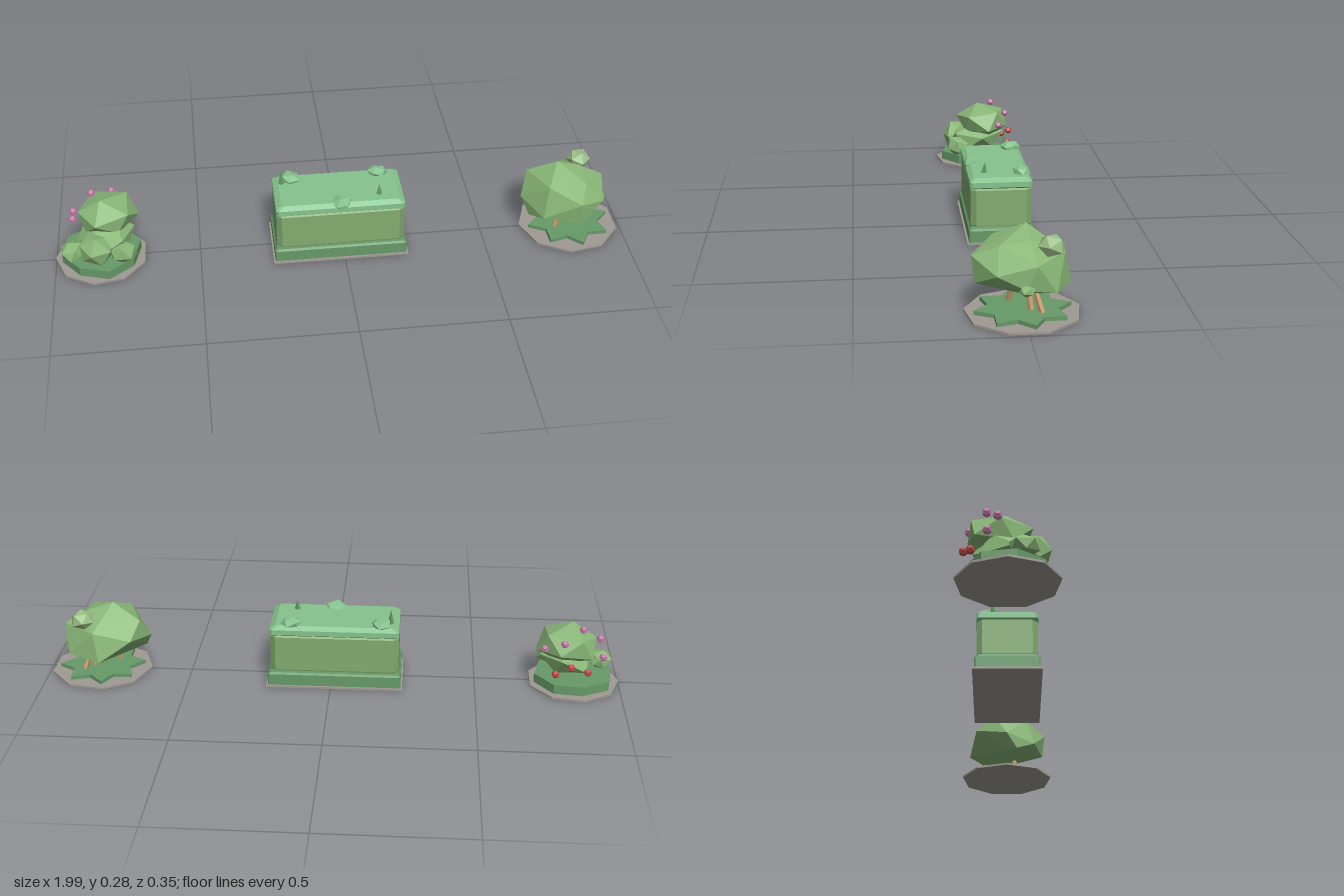
import * as THREE from 'three';
import { ConvexGeometry } from 'three/addons/geometries/ConvexGeometry.js';

const mat = (color) => new THREE.MeshStandardMaterial({ color, flatShading: true });
const stone = mat(0xa09a94), leaf = mat(0x8ab878), darkLeaf = mat(0x679a68), hedgeLeaf = mat(0x86c48e);
const hedgeSide = mat(0x82ac70), wood = mat(0xc89a6b), pink = mat(0xc47aa8), red = mat(0xc04a48), paleLeaf = mat(0x9cc088);

function seeded(seed) {
  let s = seed * 7919 + 13;
  return () => (s = (s * 16807) % 2147483647) / 2147483647;
}

function add(group, name, geometry, material, x = 0, y = 0, z = 0) {
  const mesh = new THREE.Mesh(geometry, material);
  mesh.name = name;
  mesh.position.set(x, y, z);
  group.add(mesh);
  return mesh;
}

// Irregular faceted clump: a jittered icosahedron, made convex
function clump(group, name, material, [x, y, z], [rx, ry, rz], seed) {
  const rnd = seeded(seed);
  const turn = new THREE.Euler(rnd() * 3, rnd() * 3, rnd() * 3);
  const pos = new THREE.IcosahedronGeometry(1, 0).getAttribute('position');
  const unique = new Map();
  for (let i = 0; i < pos.count; i++) {
    const p = new THREE.Vector3().fromBufferAttribute(pos, i);
    unique.set(p.toArray().map((v) => Math.round(v * 100)).join(), p);
  }
  const points = [...unique.values()].map((p) =>
    p.applyEuler(turn).multiplyScalar(0.92 + rnd() * 0.2).multiply(new THREE.Vector3(rx, ry, rz)));
  return add(group, name, new ConvexGeometry(points), material, x, y, z);
}

// Flat slab from an outline of radii around a centre
function slab(group, name, material, x, z, y, height, radii, start = 0) {
  const shape = new THREE.Shape(radii.map((r, i) => {
    const a = start + (i / radii.length) * Math.PI * 2;
    return new THREE.Vector2(Math.cos(a) * r, Math.sin(a) * r);
  }));
  const geo = new THREE.ExtrudeGeometry(shape, { depth: height, bevelEnabled: false });
  return add(group, name, geo.rotateX(-Math.PI / 2), material, x, y, z);
}

// Lofted block with cut corners; rings are [y, halfWidth, halfDepth, cut]
function block(group, name, material, rings) {
  const loops = rings.map(([y, w, d, c]) => [
    [w, d - c], [w, c - d], [w - c, -d], [c - w, -d], [-w, c - d], [-w, d - c], [c - w, d], [w - c, d],
  ].map(([x, z]) => [x, y, z]));
  const v = [];
  const quad = (a, b, c, d) => v.push(...a, ...b, ...c, ...a, ...c, ...d);
  for (let k = 0; k < loops.length - 1; k++)
    for (let i = 0; i < 8; i++) {
      const j = (i + 1) % 8;
      quad(loops[k][i], loops[k][j], loops[k + 1][j], loops[k + 1][i]);
    }
  const top = loops[loops.length - 1], bottom = loops[0];
  for (let i = 1; i < 7; i++) {
    v.push(...top[0], ...top[i], ...top[i + 1]);
    v.push(...bottom[0], ...bottom[i + 1], ...bottom[i]);
  }
  const geo = new THREE.BufferGeometry();
  geo.setAttribute('position', new THREE.Float32BufferAttribute(v, 3));
  geo.computeVertexNormals();
  return add(group, name, geo, material);
}

function berryBush() {
  const g = new THREE.Group();
  g.name = 'berryBush';
  const cx = -0.843;
  slab(g, 'bushPaving', stone, cx, 0, 0, 0.007, Array(9).fill(0.16), Math.PI / 9);
  slab(g, 'bushBed', darkLeaf, cx, 0, 0.007, 0.033, [0.14, 0.135, 0.128, 0.14, 0.137, 0.13, 0.142, 0.135], 0.2);
  // foliage
  clump(g, 'upperFoliage', leaf, [-0.815, 0.165, -0.03], [0.108, 0.066, 0.105], 3);
  clump(g, 'lowerFoliage', leaf, [-0.82, 0.1, 0.0], [0.105, 0.062, 0.11], 5);
  clump(g, 'frontFoliage', leaf, [-0.855, 0.093, 0.075], [0.062, 0.06, 0.055], 7);
  clump(g, 'cornerFoliage', leaf, [-0.765, 0.075, 0.075], [0.05, 0.042, 0.045], 9);
  clump(g, 'sideFoliage', leaf, [-0.94, 0.068, 0.045], [0.04, 0.034, 0.05], 11);
  // berries
  [[-0.86, 0.228, -0.063], [-0.795, 0.197, -0.115], [-0.732, 0.163, -0.082], [-0.935, 0.125, -0.06], [-0.925, 0.18, -0.03]]
    .forEach(([x, y, z]) => add(g, 'pinkBerry', new THREE.DodecahedronGeometry(0.014, 0), pink, x, y, z));
  [[-0.82, 0.118, -0.132], [-0.77, 0.085, -0.12], [-0.88, 0.09, -0.11]]
    .forEach(([x, y, z]) => add(g, 'redBerry', new THREE.DodecahedronGeometry(0.014, 0), red, x, y, z));
  return g;
}

function hedge() {
  const g = new THREE.Group();
  g.name = 'hedge';
  g.position.x = -0.013;
  add(g, 'hedgePaving', new THREE.BoxGeometry(0.472, 0.007, 0.234), stone, 0, 0.0035, 0);
  block(g, 'hedgePlinth', darkLeaf, [
    [0.007, 0.23, 0.11, 0.004], [0.047, 0.23, 0.11, 0.004], [0.053, 0.224, 0.104, 0.006], [0.06, 0.222, 0.102, 0.01]]);
  block(g, 'hedgeBody', hedgeSide, [
    [0.055, 0.22, 0.1, 0.018], [0.064, 0.222, 0.103, 0.018], [0.186, 0.222, 0.103, 0.018], [0.194, 0.214, 0.096, 0.016]]);
  block(g, 'hedgeCap', hedgeLeaf, [
    [0.192, 0.218, 0.1, 0.008], [0.196, 0.222, 0.105, 0.008], [0.214, 0.222, 0.105, 0.008], [0.226, 0.203, 0.09, 0.008]]);
  // leafy tufts and shoots on the top
  clump(g, 'hedgeTuft', hedgeLeaf, [-0.16, 0.232, -0.07], [0.036, 0.019, 0.035], 2);
  clump(g, 'hedgeTuft', hedgeLeaf, [0.148, 0.232, -0.075], [0.037, 0.018, 0.03], 4);
  clump(g, 'hedgeTuft', hedgeLeaf, [0.003, 0.218, 0.08], [0.04, 0.028, 0.034], 6);
  [[-0.192, 0.28, -0.05], [0.138, 0.262, 0.05]].forEach(([x, tip, z]) => {
    const h = tip - 0.22;
    const shoot = add(g, 'hedgeShoot', new THREE.ConeGeometry(0.012, h, 4), darkLeaf, x, 0.22 + h / 2, z);
    shoot.rotation.x = -0.12;
  });
  return g;
}

function roundTree() {
  const g = new THREE.Group();
  g.name = 'roundTree';
  const cx = 0.82;
  slab(g, 'treePaving', stone, cx, 0, 0, 0.007, Array(9).fill(0.177), Math.PI / 18 * 10);
  const star = Array.from({ length: 16 }, (_, i) => (i % 2 ? 0.105 : 0.15));
  slab(g, 'treeGroundCover', darkLeaf, cx, 0, 0.007, 0.013, star, 0.15);
  // leaning stems
  const up = new THREE.Vector3(0, 1, 0);
  [[0.765, 0.037, 0.79, 0.022], [0.845, -0.022, 0.825, -0.012], [0.873, -0.052, 0.845, -0.025]].forEach(([x0, z0, x1, z1]) => {
    const a = new THREE.Vector3(x0, 0.018, z0), b = new THREE.Vector3(x1, 0.11, z1);
    const stem = add(g, 'stem', new THREE.CylinderGeometry(0.008, 0.01, a.distanceTo(b), 5), wood);
    stem.position.copy(a).lerp(b, 0.5);
    stem.quaternion.setFromUnitVectors(up, b.clone().sub(a).normalize());
  });
  // faceted crown
  const crown = [
    [0.64, 0.134, 0], [0.668, 0.21, -0.05], [0.765, 0.262, -0.015], [0.7, 0.11, 0.11], [0.82, 0.185, 0.153],
    [0.915, 0.15, 0.085], [0.937, 0.185, -0.03], [0.915, 0.095, -0.09], [0.8, 0.088, -0.147], [0.69, 0.16, -0.12],
    [0.8, 0.052, 0], [0.85, 0.235, -0.02], [0.825, 0.1, 0.143], [0.665, 0.078, 0.04], [0.82, 0.19, -0.125],
    [0.72, 0.215, 0.08], [0.85, 0.22, 0.075], [0.93, 0.11, 0.0],
  ].map((p) => new THREE.Vector3(...p));
  add(g, 'crown', new ConvexGeometry(crown), leaf);
  clump(g, 'crownTuft', paleLeaf, [0.86, 0.222, -0.08], [0.04, 0.034, 0.041], 8);
  clump(g, 'sideTuft', leaf, [0.925, 0.11, 0.0], [0.025, 0.018, 0.026], 10);
  return g;
}

export function createModel() {
  const model = new THREE.Group();
  model.name = 'gardenShrubs';
  model.add(berryBush(), hedge(), roundTree());
  return model;
}
